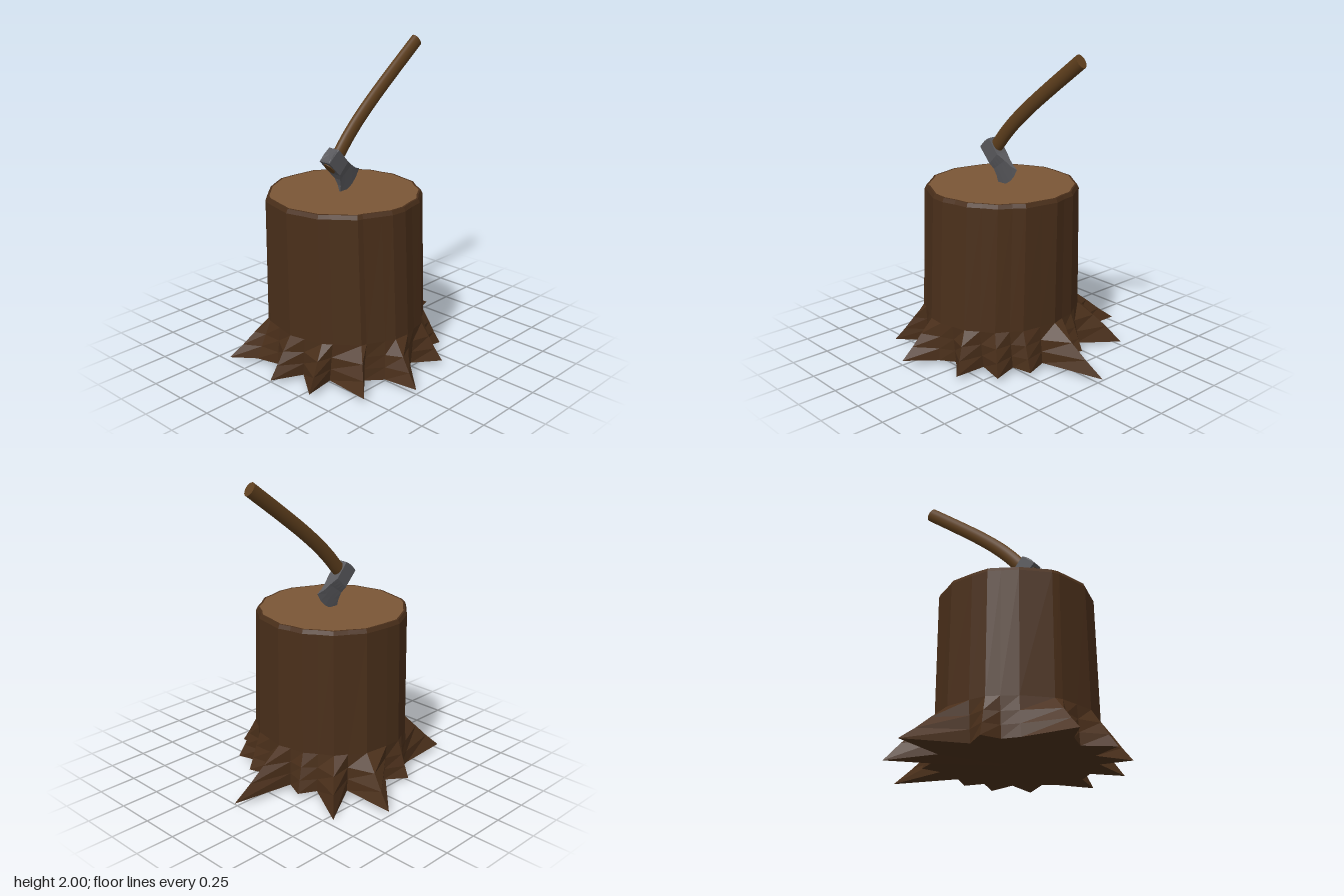
import * as THREE from 'three';

const CX = 0.02, CZ = 0.115; // stump axis
const AXE_X = 0.017;

// Ground outline of the roots, counterclockwise from the front: [x, z]
const OUTLINE = [
  [0.025, 0.775], [0.12, 0.585], [0.32, 0.73], [0.29, 0.525], [0.595, 0.545], [0.44, 0.385],
  [0.53, 0.285], [0.75, 0.25], [0.57, 0.10], [0.505, 0.01], [0.63, -0.15], [0.42, -0.16],
  [0.46, -0.34], [0.29, -0.29], [0.26, -0.42], [0.11, -0.37], [-0.01, -0.78], [-0.08, -0.37],
  [-0.2, -0.42], [-0.26, -0.31], [-0.54, -0.45], [-0.39, -0.17], [-0.75, -0.18], [-0.46, 0.1],
  [-0.56, 0.23], [-0.44, 0.29], [-0.41, 0.4], [-0.39, 0.75], [-0.25, 0.64], [-0.1, 0.6],
];

function material(color, extra = {}) {
  return new THREE.MeshStandardMaterial({ color, ...extra });
}

function addMesh(parent, name, geometry, mat) {
  const mesh = new THREE.Mesh(geometry, mat);
  mesh.name = name;
  parent.add(mesh);
  return mesh;
}

// Faceted skin over closed rings of Vector3, with optional end caps
function loft(rings, capStart = true, capEnd = true) {
  const pos = [];
  const tri = (...pts) => pts.forEach((p) => pos.push(p.x, p.y, p.z));
  const n = rings[0].length;
  const cap = (ring, flip) => {
    const c = ring.reduce((s, p) => s.add(p), new THREE.Vector3()).divideScalar(n);
    ring.forEach((p, j) => {
      const q = ring[(j + 1) % n];
      if (flip) tri(c, q, p);
      else tri(c, p, q);
    });
  };
  for (let i = 0; i + 1 < rings.length; i++) {
    for (let j = 0; j < n; j++) {
      const k = (j + 1) % n;
      const a = rings[i][j], b = rings[i][k], c = rings[i + 1][k], d = rings[i + 1][j];
      tri(a, b, c);
      tri(a, c, d);
    }
  }
  if (capStart) cap(rings[0], true);
  if (capEnd) cap(rings[rings.length - 1], false);
  const g = new THREE.BufferGeometry();
  g.setAttribute('position', new THREE.Float32BufferAttribute(pos, 3));
  g.computeVertexNormals();
  return g;
}

function buildStump() {
  const stump = new THREE.Group();
  stump.name = 'stump';

  // Each column keeps its angle all the way up the trunk
  const columns = OUTLINE.map(([x, z]) => {
    const dx = x - CX, dz = z - CZ, r = Math.hypot(dx, dz);
    return { x, z, ux: dx / r, uz: dz / r, r: r > 0.54 ? 0.495 : 0.482 };
  });
  const trunkRing = (y, inset, stretch = 1, shift = 0) => columns.map((c) => new THREE.Vector3(
    CX + shift + c.ux * (c.r - inset) * stretch, y, CZ + c.uz * (c.r - inset)));

  // Root flare: blend from the trunk foot out to the ground outline
  const foot = trunkRing(0.28, 0, 1.055, 0.01);
  const rootRing = (y, f) => columns.map((c, j) => new THREE.Vector3(
    THREE.MathUtils.lerp(foot[j].x, c.x, f), y, THREE.MathUtils.lerp(foot[j].z, c.z, f)));
  const ground = rootRing(0.03, 1);
  ground.find((p) => p.x < -0.5 && p.z < -0.4).y = 0; // one root dips lower

  const face = trunkRing(1.1, 0.024);
  const bark = [
    ground, rootRing(0.11, 0.66), rootRing(0.19, 0.36), foot,
    trunkRing(1.075, 0), trunkRing(1.1, 0.012), face,
  ];
  addMesh(stump, 'bark', loft(bark, true, false), material(0x4a2f1a, { flatShading: true }));

  // Cut wood face on top
  addMesh(stump, 'cutFace', loft([face], false, true), material(0x7a5636, { flatShading: true }));
  return stump;
}

function buildAxe() {
  const axe = new THREE.Group();
  axe.name = 'axe';
  axe.position.x = AXE_X;

  // Head sections from poll to cutting edge: lower z,y, upper z,y, half width, bulge
  const sections = [
    [0.275, 1.325, 0.2, 1.385, 0.036, 0.006],
    [0.28, 1.315, 0.195, 1.385, 0.042, 0],
    [0.19, 1.22, 0.115, 1.295, 0.042, 0],
    [0.168, 1.185, 0.065, 1.26, 0.023, 0],
    [0.152, 1.14, 0.02, 1.23, 0.013, 0.01],
    [0.145, 1.08, -0.025, 1.213, 0.002, 0.03],
  ];
  const steps = [0, 0.25, 0.5, 0.75, 1];
  const rings = sections.map(([z0, y0, z1, y1, w, bulge], i) => {
    const side = (x) => steps.map((t) => {
      const b = bulge * 4 * t * (1 - t) * (i === 0 ? -1 : 1);
      return new THREE.Vector3(x,
        THREE.MathUtils.lerp(y0, y1, t) - 0.76 * b,
        THREE.MathUtils.lerp(z0, z1, t) - 0.65 * b);
    });
    return [...side(w).reverse(), ...side(-w)];
  });
  addMesh(axe, 'axeHead', loft(rings), material(0x58585c, { flatShading: true }));

  // Curved handle with an oval section, through the eye of the head
  const path = new THREE.CatmullRomCurve3([
    [0.24, 1.265], [0.16, 1.34], [0.085, 1.425], [-0.01, 1.52],
    [-0.15, 1.64], [-0.33, 1.78], [-0.57, 1.96],
  ].map(([z, y]) => new THREE.Vector3(0, y, z)));
  const radius = 0.046;
  const wood = material(0x5c3d1c);
  const handle = addMesh(axe, 'handle', new THREE.TubeGeometry(path, 24, radius, 16), wood);
  handle.scale.x = 0.72;

  // Handle ends
  [[0, -1], [1, 1]].forEach(([t, dir]) => {
    const end = addMesh(handle, 'handleEnd', new THREE.CircleGeometry(radius, 16), wood);
    end.position.copy(path.getPointAt(t));
    end.quaternion.setFromUnitVectors(
      new THREE.Vector3(0, 0, 1), path.getTangentAt(t).multiplyScalar(dir));
  });
  return axe;
}

export function createModel() {
  const model = new THREE.Group();
  model.name = 'stumpWithAxe';
  model.add(buildStump(), buildAxe());
  return model;
}
